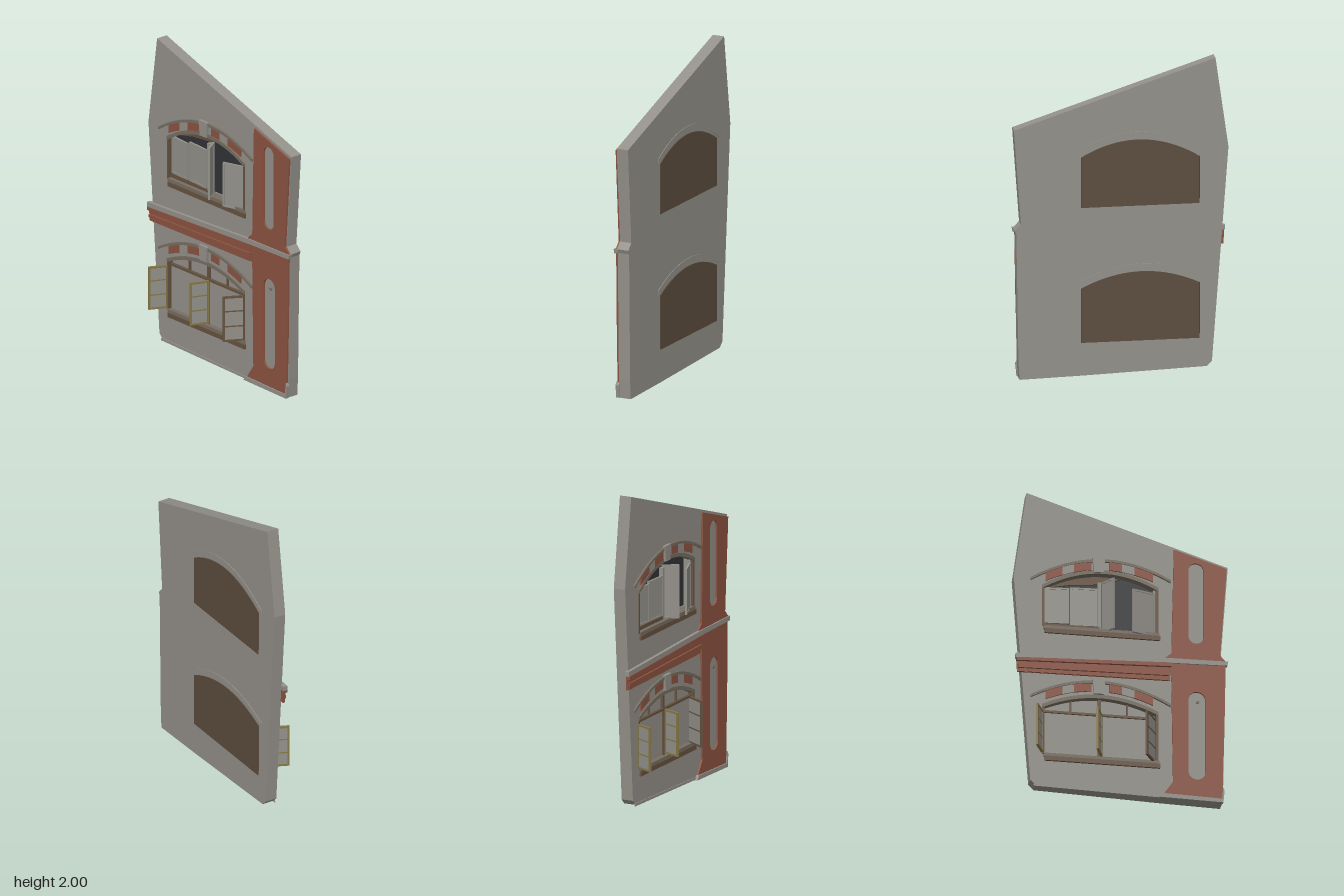
import * as THREE from 'three';

const paint = (name, color) => {
  const m = new THREE.MeshStandardMaterial({ color });
  m.name = name;
  return m;
};

export function createModel() {
  const stone = paint('stone grey', 0x94918a);
  const brick = paint('terracotta brick', 0x8c5340);
  const wood = paint('brown wood', 0x665340);
  const board = paint('dark brown board', 0x5c4d3e);
  const olive = paint('olive wood', 0x877848);
  const dark = paint('dark interior', 0x303336);
  const trim = paint('grey brown trim', 0x776e61);

  const root = new THREE.Group();
  root.name = 'facade';

  const loop = (pts, Type) => new Type(pts.map(p => new THREE.Vector2(p[0], p[1])));

  // Flat part: an outline in x and y, extruded from z0 to z1
  function slab(name, pts, z0, z1, mat, holes = [], parent = root) {
    const shape = loop(pts, THREE.Shape);
    shape.holes = holes.map(h => loop(h, THREE.Path));
    const geo = new THREE.ExtrudeGeometry(shape, { depth: z1 - z0, bevelEnabled: false });
    const mesh = new THREE.Mesh(geo.translate(0, 0, z0), mat);
    mesh.name = name;
    parent.add(mesh);
    return mesh;
  }
  const rect = (x0, x1, y0, y1) => [[x0, y0], [x1, y0], [x1, y1], [x0, y1]];

  // Shallow arch curve around the window centre, optionally tilted
  const CX = -0.13;
  const arch = (half, base, rise, tilt) => x =>
    base + rise * (1 - ((x - CX) / half) ** 2) + tilt * (x - CX);
  const sample = (f, x0, x1, n = 20) =>
    Array.from({ length: n + 1 }, (_, i) => {
      const x = x0 + (x1 - x0) * i / n;
      return [x, f(x)];
    });
  const band = (top, bottom, x0, x1, n = 20) =>
    [...sample(bottom, x0, x1, n), ...sample(top, x1, x0, n)];
  const archedOpening = (f, x0, x1, y0) => [[x0, y0], [x1, y0], ...sample(f, x1, x0)];

  // Round-ended vertical slot
  function slot(x0, x1, y0, y1) {
    const r = (x1 - x0) / 2, cx = (x0 + x1) / 2, pts = [];
    for (let i = 0; i <= 10; i++) {
      const a = Math.PI * i / 10;
      pts.push([cx + r * Math.cos(a), y1 - r + r * Math.sin(a)]);
    }
    for (let i = 0; i <= 10; i++) {
      const a = Math.PI * (1 + i / 10);
      pts.push([cx + r * Math.cos(a), y0 + r + r * Math.sin(a)]);
    }
    return pts;
  }

  const floors = [
    { name: 'lower', sill: 0.25, head: arch(0.365, 0.57, 0.09, 0), hood: arch(0.433, 0.642, 0.122, 0) },
    { name: 'upper', sill: 1.11, head: arch(0.365, 1.39, 0.11, 0.045), hood: arch(0.433, 1.453, 0.13, 0.055) },
  ];
  const L = -0.49, R = 0.23;

  // Main wall
  slab('wall', [[-0.585, 2], [-0.665, 1.43], [-0.563, 0.07], [-0.53, 0.037], [0.235, 0.01],
    [0.625, 0], [0.632, 0.12], [0.645, 0.925], [0.655, 0.95], [0.617, 0.99], [0.66, 1.59]],
  -0.095, -0.017, stone, floors.map(f => archedOpening(f.head, L, R, f.sill)));

  // Brick pilaster with two slot-shaped niches
  slab('upperPilaster', [[0.325, 1.683], [0.31, 0.985], [0.26, 0.94], [0.65, 0.95], [0.612, 0.99], [0.652, 1.577]],
    -0.017, -0.005, brick, [slot(0.415, 0.508, 1.06, 1.6)]);
  slab('lowerPilaster', [[0.3, 0.93], [0.645, 0.935], [0.638, 0.5], [0.627, 0.1], [0.627, 0.025], [0.262, 0.035], [0.32, 0.12], [0.31, 0.8]],
    -0.017, -0.005, brick, [slot(0.415, 0.52, 0.145, 0.735)]);
  slab('nicheStud', slot(0.462, 0.485, 0.66, 0.678), -0.017, -0.01, trim);
  slab('pilasterBase', [[0.235, 0.008], [0.63, 0], [0.638, 0.08], [0.628, 0.1], [0.622, 0.025], [0.26, 0.035]],
    -0.02, 0.003, stone);
  slab('wallBase', [[-0.545, 0.03], [0.25, 0.01], [0.25, 0.025], [-0.54, 0.048]], -0.017, -0.012, stone);

  // Belt course: stone cornice over stepped brick courses
  slab('cornice', [[-0.655, 0.88], [0.3, 0.915], [0.655, 0.922], [0.66, 0.95], [0.3, 0.947], [-0.655, 0.91]],
    -0.025, 0.004, stone);
  for (let i = 0; i < 4; i++) {
    const a = 0.86 - i * 0.023, b = 0.89 - i * 0.03;
    slab('brickCourse', [[-0.65 + i * 0.005, a], [0.31 - i * 0.008, b], [0.31 - i * 0.008, b + 0.026], [-0.65 + i * 0.005, a + 0.02]],
      -0.02, i % 2 ? -0.004 : 0.008 - i * 0.002, brick);
  }
  slab('courseBacking', [[-0.645, 0.79], [0.3, 0.8], [0.3, 0.92], [-0.65, 0.885]], -0.02, -0.008, brick);

  // Arches, sills, rims and back boards for both windows
  const voussoirs = [[-0.47, -0.365, brick], [-0.365, -0.295, stone], [-0.295, -0.185, brick],
    [-0.075, 0.005, brick], [0.005, 0.08, stone], [0.08, 0.195, brick]];
  for (const f of floors) {
    const g = new THREE.Group();
    g.name = f.name + 'Window';
    root.add(g);
    const down = (fn, d) => x => fn(x) - d;
    slab('hoodMoulding', band(f.hood, down(f.hood, 0.017), -0.56, 0.305), -0.02, -0.003, trim, [], g);
    for (const [x0, x1, m] of voussoirs)
      slab('voussoir', band(down(f.hood, 0.017), down(f.hood, 0.07), x0, x1, 4), -0.02, -0.008, m, [], g);
    const top = f.hood(-0.14);
    slab('keystone', [[-0.17, top - 0.09], [-0.11, top - 0.09], [-0.102, top + 0.008], [-0.18, top + 0.008]],
      -0.02, 0.002, stone, [], g);
    slab('archRim', band(x => f.head(x) + 0.012, down(f.head, 0.012), L, R), -0.06, -0.01, trim, [], g);
    for (const [x0, x1] of [[L, L + 0.014], [R - 0.014, R]])
      slab('jamb', rect(x0, x1, f.sill, f.head(x0) - 0.005), -0.06, -0.014, wood, [], g);
    slab('sill', rect(-0.475, 0.24, f.sill - 0.045, f.sill - 0.015), -0.02, -0.004, wood, [], g);
    slab('sillTop', rect(-0.48, 0.235, f.sill - 0.02, f.sill + 0.006), -0.07, -0.008, trim, [], g);
    slab('backBoard', archedOpening(f.head, L + 0.005, R + 0.015, f.sill - 0.03), -0.1, -0.094, board, [], g);
    slab('backArch', band(x => f.head(x) + 0.05, x => f.head(x) + 0.02, -0.52, 0.27), -0.099, -0.094, stone, [], g);
    slab('interior', archedOpening(f.head, L, R, f.sill), -0.094, -0.09, dark, [], g);
  }

  // Lower window: pale panes, transom and glazing bars
  slab('lowerPane', rect(-0.476, 0.216, 0.25, 0.54), -0.05, -0.04, stone);
  slab('transomPane', archedOpening(x => floors[0].head(x) - 0.01, -0.476, 0.216, 0.55), -0.06, -0.05, stone);
  slab('transom', rect(-0.48, 0.22, 0.538, 0.553), -0.05, -0.03, wood);
  for (const [x, w] of [[-0.31, 0.004], [-0.132, 0.01], [0.04, 0.004]])
    slab('glazingBar', rect(x - w, x + w, 0.55, floors[0].head(x) - 0.01), -0.05, -0.035, wood);
  slab('centrePost', rect(-0.142, -0.12, 0.25, 0.54), -0.045, -0.03, wood);

  // Casement leaf standing between two points seen from above
  function leaf(name, [xa, za], [xb, zb], y0, y1, frameMat, bars) {
    const g = new THREE.Group();
    g.name = name;
    const w = Math.hypot(xb - xa, zb - za), h = y1 - y0, t = 0.012;
    slab('frame', rect(0, w, 0, h), -0.007, 0.007, frameMat, [rect(t, w - t, t, h - t)], g);
    slab('pane', rect(t, w - t, t, h - t), -0.003, 0.003, stone, [], g);
    for (let i = 1; i <= bars; i++) {
      const y = h * i / (bars + 1);
      slab('bar', rect(t, w - t, y - 0.004, y + 0.004), -0.005, 0.005, frameMat, [], g);
    }
    g.position.set(xa, y0, za);
    g.rotation.y = -Math.atan2(zb - za, xb - xa);
    root.add(g);
  }
  leaf('lowerShutterA', [-0.488, -0.02], [-0.54, 0.093], 0.26, 0.54, olive, 2);
  leaf('lowerShutterB', [-0.12, -0.03], [-0.165, 0.085], 0.265, 0.545, olive, 2);
  leaf('lowerShutterC', [0.22, -0.05], [0.14, 0.085], 0.25, 0.545, wood, 2);

  // Upper window: two closed leaves, a post and two open leaves
  leaf('upperLeafA', [-0.475, -0.045], [-0.32, -0.035], 1.145, 1.385, stone, 0);
  leaf('upperLeafB', [-0.313, -0.045], [-0.145, -0.035], 1.14, 1.395, stone, 0);
  leaf('upperLeafC', [-0.11, -0.06], [-0.05, 0.03], 1.11, 1.45, stone, 0);
  leaf('upperLeafD', [0.21, -0.035], [0.065, 0.015], 1.1, 1.39, stone, 0);
  slab('upperPost', rect(-0.142, -0.122, 1.11, 1.44), -0.06, -0.035, stone);
  slab('upperSideFrame', rect(0.2, 0.218, 1.11, 1.41), -0.06, -0.03, stone);
  slab('upperRail', rect(-0.476, -0.13, 1.11, 1.14), -0.06, -0.035, wood);
  slab('upperSoffit', [[-0.476, 1.39], [-0.3, 1.425], [-0.12, 1.44], [0.02, 1.49],
    ...sample(x => floors[1].head(x) - 0.01, 0.02, -0.476, 10).slice(1)], -0.075, -0.065, wood);

  return root;
}
